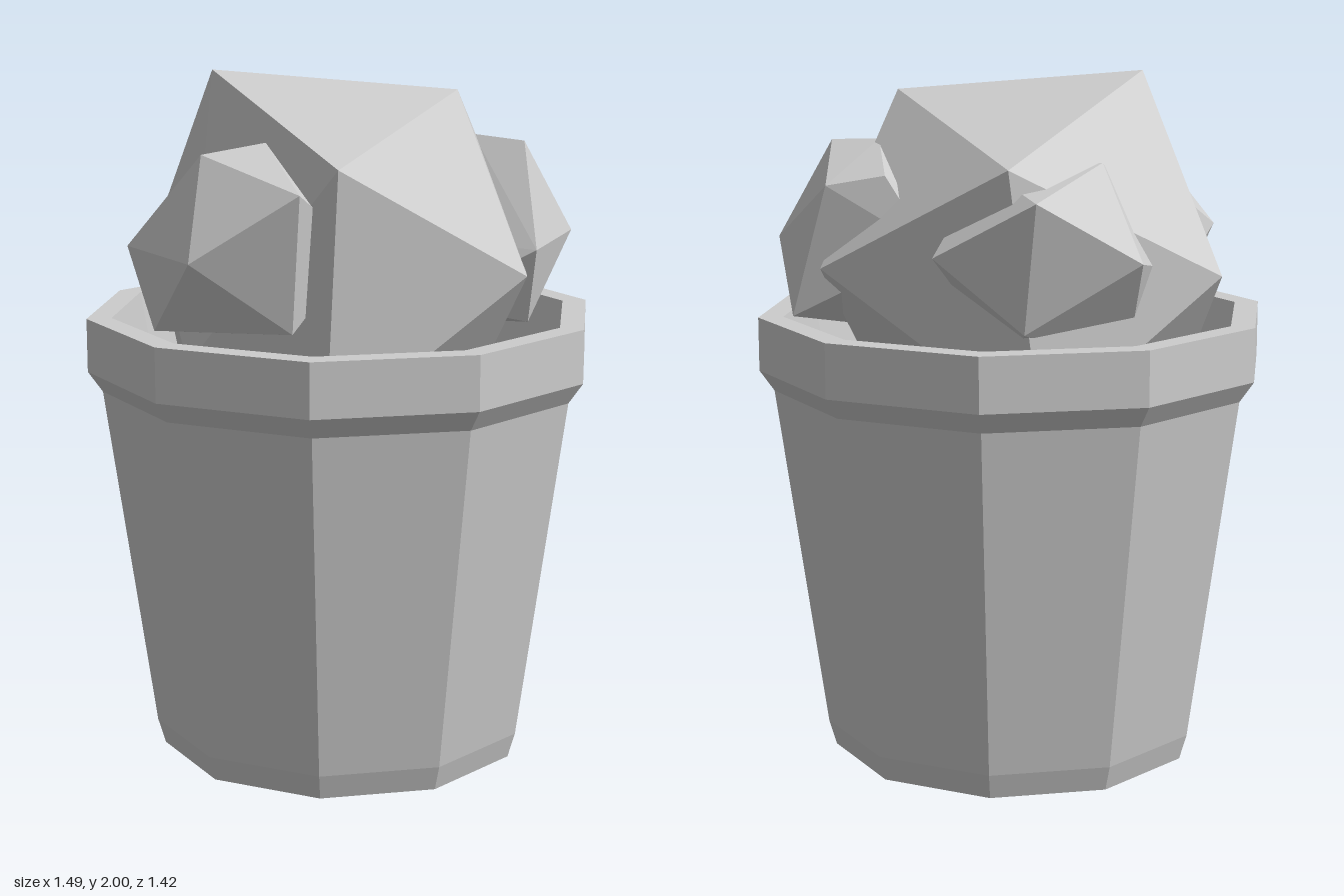
import * as THREE from 'three';
import { ConvexGeometry } from 'three/addons/geometries/ConvexGeometry.js';

const grey = new THREE.MeshStandardMaterial({ color: 0xcccccc });
grey.name = 'light grey';

function addMesh(group, name, geometry) {
  const mesh = new THREE.Mesh(geometry, grey);
  mesh.name = name;
  group.add(mesh);
}

// Faceted rock: "mirrored" corners are repeated through the centre, "single" ones are not
function rock(center, mirrored, single) {
  const c = new THREE.Vector3(...center);
  const points = single.map((p) => new THREE.Vector3(...p));
  for (const p of mirrored) {
    const v = new THREE.Vector3(...p);
    points.push(v, c.clone().multiplyScalar(2).sub(v));
  }
  return new ConvexGeometry(points);
}

// Ten-sided tub with a chamfered foot, thick collar and hollow top
function tub() {
  const profile = [
    [0, 0], [0.54, 0], [0.562, 0.075], [0.703, 1.09], [0.745, 1.15],
    [0.745, 1.305], [0.673, 1.305], [0.618, 1.02], [0, 1.02],
  ].map(([r, y]) => new THREE.Vector2(r, y));
  const geometry = new THREE.LatheGeometry(profile, 10, Math.PI / 2).toNonIndexed();
  geometry.computeVertexNormals();
  return geometry;
}

export function createModel() {
  const model = new THREE.Group();
  model.name = 'tubOfRocks';

  addMesh(model, 'tub', tub());

  // Large rock in the middle
  addMesh(model, 'largeRock', rock(
    [-0.04, 1.42, 0.02],
    [[-0.34, 2.0, 0.145], [0.305, 1.945, -0.13], [0.23, 1.785, 0.527]],
    [
      [-0.22, 1.77, -0.505], [0.18, 1.05, 0.5], [-0.68, 1.46, -0.1],
      [0.605, 1.46, 0.09], [-0.28, 1.2, 0.43], [0.36, 1.47, -0.5],
    ],
  ));

  // Small rock leaning on the front
  addMesh(model, 'frontRock', rock(
    [-0.145, 1.53, 0.35],
    [[-0.145, 1.53, 0.67], [-0.45, 1.53, 0.46], [-0.2, 1.8, 0.485], [0.145, 1.72, 0.585]],
    [[0.11, 1.34, 0.56], [-0.33, 1.31, 0.53], [-0.36, 1.72, 0.15], [-0.07, 1.825, 0.35]],
  ));

  // Small rock on the left side, towards the back
  addMesh(model, 'leftRock', rock(
    [0.33, 1.53, -0.2],
    [[0.585, 1.53, -0.34], [0.61, 1.525, 0.03], [0.485, 1.8, -0.2], [0.35, 1.7, -0.48]],
    [[0.45, 1.33, -0.5], [0.57, 1.31, -0.02], [0.32, 1.81, -0.22], [0.19, 1.73, -0.43]],
  ));

  // Small rock at the back, towards the right
  addMesh(model, 'backRock', rock(
    [-0.25, 1.49, -0.26],
    [[-0.32, 1.69, -0.545], [-0.02, 1.53, -0.56], [-0.55, 1.52, -0.36],
      [-0.37, 1.77, -0.215], [-0.27, 1.33, -0.51], [-0.05, 1.75, -0.3]],
    [],
  ));

  return model;
}
